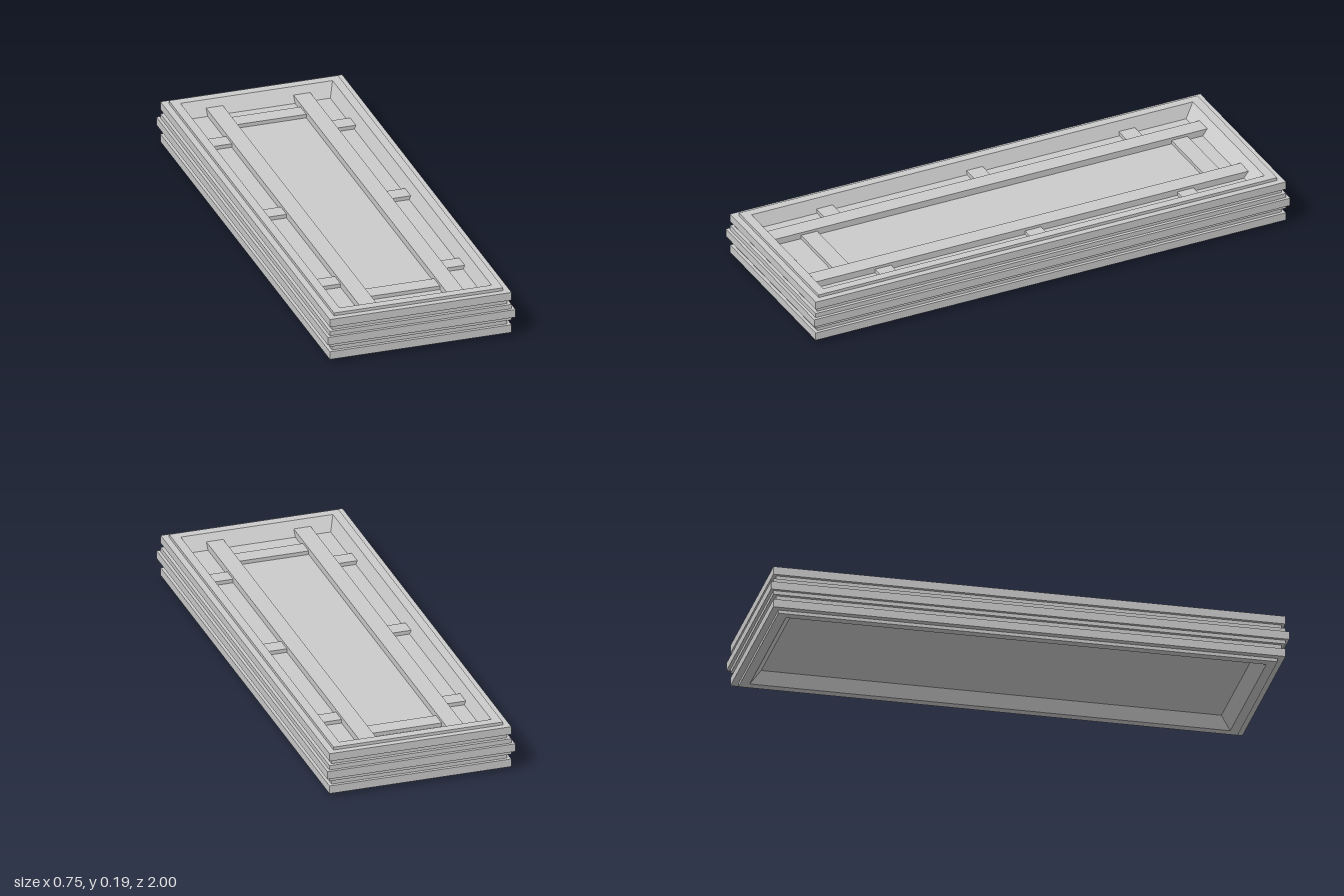
import * as THREE from 'three';

const HX = 0.373, HZ = 1; // half size of the widest moulding

export function createModel() {
  const model = new THREE.Group();
  const mat = new THREE.MeshStandardMaterial({ color: 0xcccccc, flatShading: true });

  const add = (name, geo) => {
    const mesh = new THREE.Mesh(geo, mat);
    mesh.name = name;
    model.add(mesh);
    return mesh;
  };
  // Box given by its limits on each axis
  const box = (name, x0, x1, y0, y1, z0, z1) =>
    add(name, new THREE.BoxGeometry(x1 - x0, y1 - y0, z1 - z0))
      .position.set((x0 + x1) / 2, (y0 + y1) / 2, (z0 + z1) / 2);

  // Sweeps a profile of [inset x, inset z, y] around a mitred rectangle
  const rectSweep = (profile) => {
    const signs = [[-1, 1], [1, 1], [1, -1], [-1, -1]];
    const corner = ([dx, dz, y], i) => {
      const [sx, sz] = signs[i % 4];
      return [sx * (HX - dx), y, sz * (HZ - dz)];
    };
    const pos = [];
    for (let k = 0; k < profile.length - 1; k++) {
      for (let i = 0; i < 4; i++) {
        const a = corner(profile[k], i), b = corner(profile[k], i + 1);
        const c = corner(profile[k + 1], i + 1), d = corner(profile[k + 1], i);
        pos.push(...a, ...b, ...c, ...a, ...c, ...d);
      }
    }
    const geo = new THREE.BufferGeometry();
    geo.setAttribute('position', new THREE.Float32BufferAttribute(pos, 3));
    geo.computeVertexNormals();
    return geo;
  };

  // Stepped frame: bands of [inset, bottom, top], with sloped inner edges
  const bands = [
    [0.037, 0, 0.013], [0.012, 0.013, 0.045], [0.025, 0.045, 0.065],
    [0.012, 0.065, 0.08], [0, 0.08, 0.112], [0.012, 0.112, 0.13],
    [0.025, 0.13, 0.148], [0.012, 0.148, 0.18], [0.037, 0.18, 0.192],
  ];
  const profile = [[0.093, 0.112, 0.05], [0.071, 0.073, 0]];
  for (const [d, y0, y1] of bands) profile.push([d, d, y0], [d, d, y1]);
  profile.push([0.071, 0.073, 0.192], [0.093, 0.112, 0.14]);
  add('frame', rectSweep(profile));

  // Panel closing the frame
  box('panel', -0.285, 0.285, 0.05, 0.14, -0.895, 0.895);

  // Long rails and the short battens joining them to the frame
  for (const s of [-1, 1]) {
    const side = s > 0 ? 'left' : 'right';
    const span = (a, b) => (s > 0 ? [a, b] : [-b, -a]);
    box(side + 'Rail', ...span(0.14, 0.207), 0.135, 0.166, -0.917, 0.917);
    for (const z of [-0.642, -0.002, 0.628]) {
      box(side + 'Batten', ...span(0.2, 0.294), 0.135, 0.155, z - 0.034, z + 0.034);
    }
  }

  // Cross bars between the rails
  box('backCrossBar', -0.145, 0.145, 0.135, 0.155, -0.825, -0.757);
  box('frontCrossBar', -0.145, 0.145, 0.135, 0.155, 0.732, 0.8);

  return model;
}
